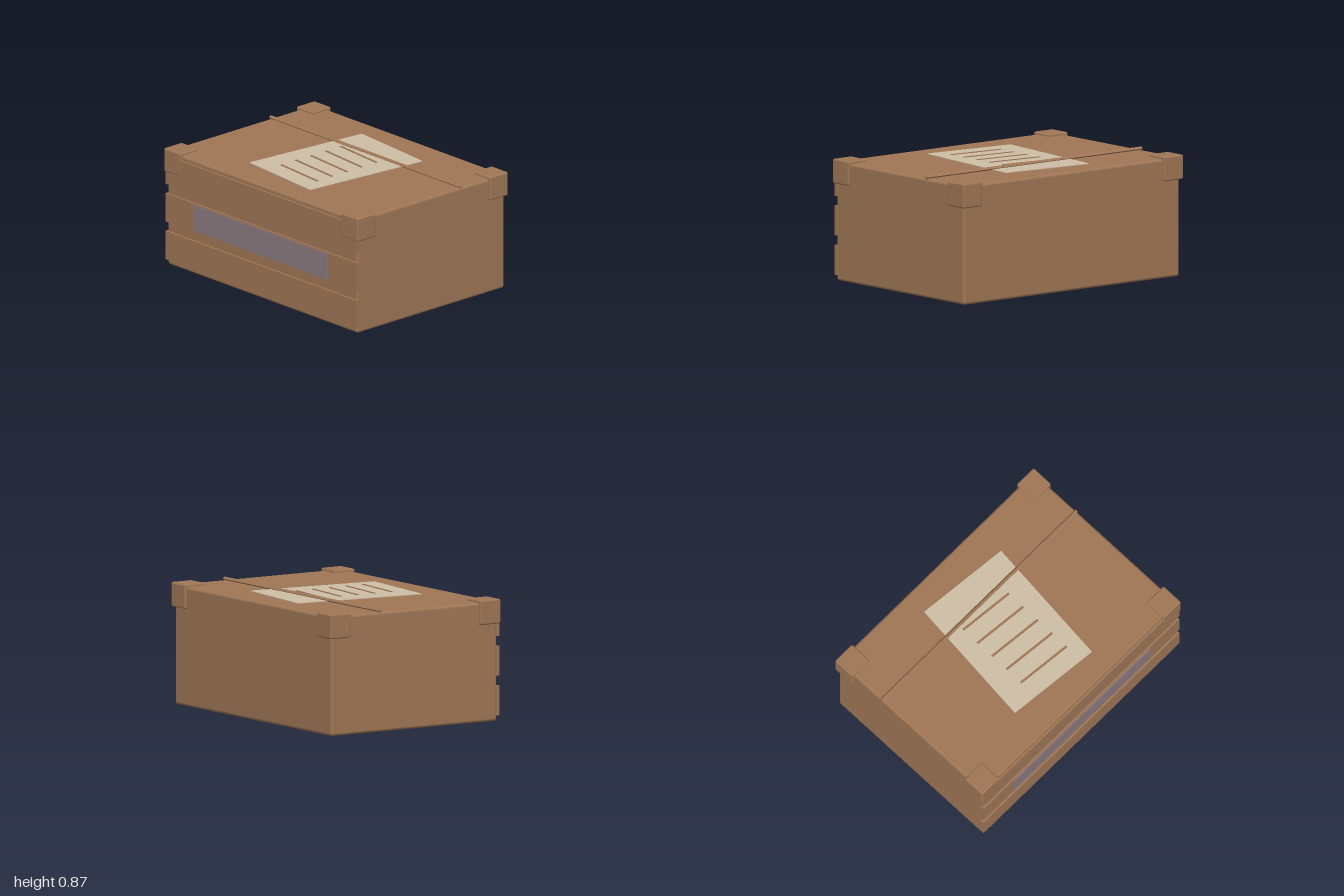
import * as THREE from 'three';
import { RoundedBoxGeometry } from 'three/addons/geometries/RoundedBoxGeometry.js';

const material = (name, color) => {
  const m = new THREE.MeshStandardMaterial({ color });
  m.name = name;
  return m;
};

export function createModel() {
  const model = new THREE.Group();
  model.name = 'crate';
  const brown = material('cardboard brown', 0x9e7655);
  const cream = material('paper cream', 0xcdbda5);
  const mauve = material('plate mauve', 0x8b7a80);

  const add = (name, geometry, mat, x, y, z) => {
    const mesh = new THREE.Mesh(geometry, mat);
    mesh.name = name;
    mesh.position.set(x, y, z);
    model.add(mesh);
    return mesh;
  };

  // Main box with softened edges
  add('body', new RoundedBoxGeometry(1.96, 0.845, 1.4, 3, 0.02), brown, 0, 0.4225, 0);

  // Three horizontal slats across the front
  for (const y of [0.145, 0.425, 0.705]) {
    add('frontSlat', new THREE.BoxGeometry(1.97, 0.21, 0.03), brown, 0, y, 0.7);
  }

  // Name plate on the middle slat
  add('frontPlate', new THREE.BoxGeometry(1.38, 0.19, 0.008), mauve, 0, 0.425, 0.717);

  // Protective caps on the four upper corners
  for (const sx of [-1, 1]) {
    for (const sz of [-1, 1]) {
      add('cornerCap', new RoundedBoxGeometry(0.172, 0.174, 0.172, 3, 0.012), brown,
        sx * 0.914, 0.776, sz * 0.632);
    }
  }

  // Slightly turned sheet of paper with ruled lines
  const turn = -0.1;
  add('paper', new THREE.BoxGeometry(0.705, 0.006, 0.985), cream, 0, 0.847, 0).rotation.y = turn;
  for (let i = 0; i < 5; i++) {
    add('paperLine', new THREE.BoxGeometry(0.42, 0.005, 0.016), brown,
      0, 0.8515, -0.215 + i * 0.141).rotation.y = turn;
  }

  // Thin four-sided cord lying across the lid
  const cord = new THREE.CylinderGeometry(0.014, 0.014, 1.96, 4).toNonIndexed();
  cord.computeVertexNormals();
  cord.rotateZ(Math.PI / 2);
  add('cord', cord, brown, 0, 0.854, -0.282);

  return model;
}
